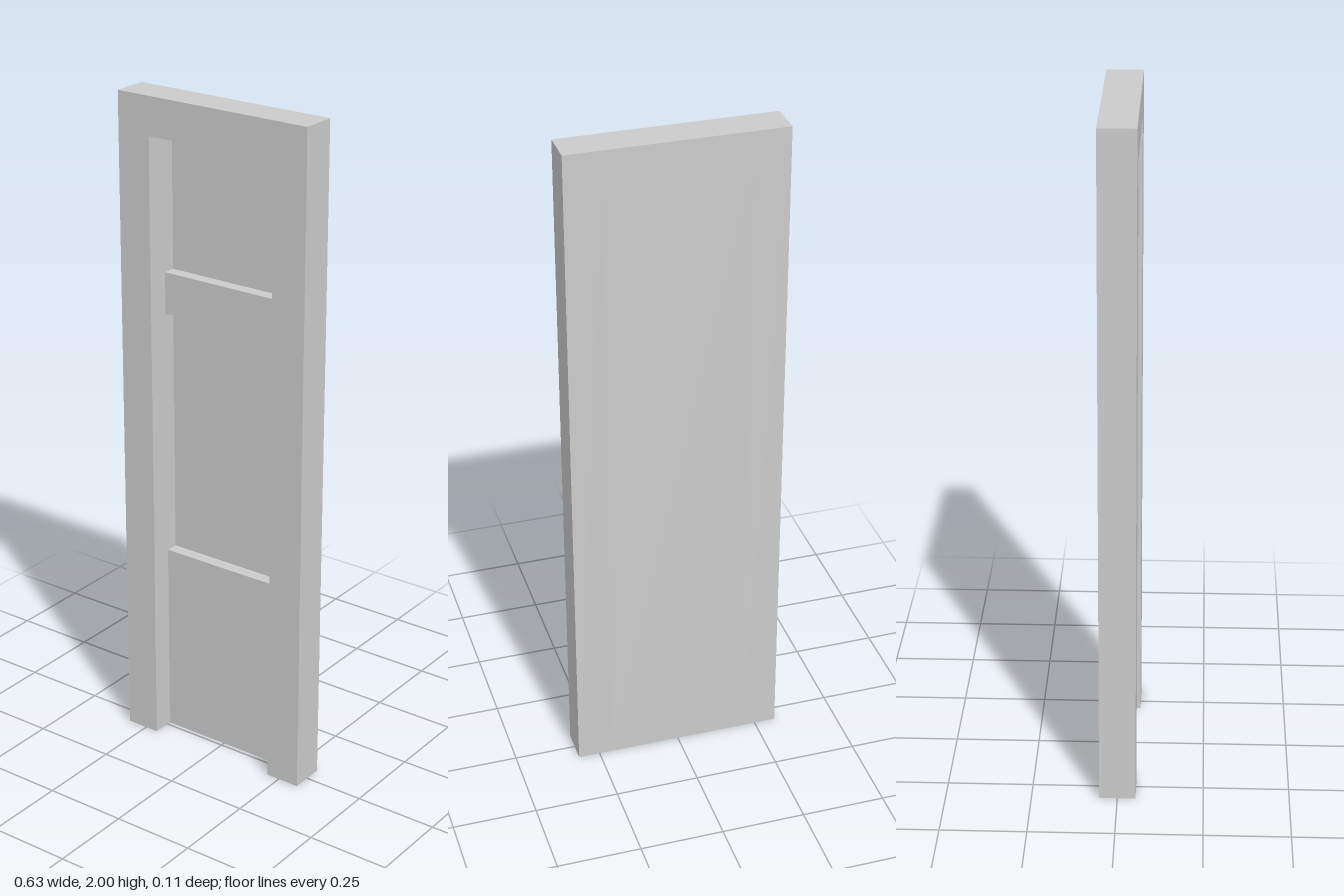
import * as THREE from 'three';

const W = 0.315, IN = 0.209, H = 2, TOP = 1.887; // half widths and heights
const FRONT = 0.053, BACK = -0.053, RAIL = -0.013, PANEL = -0.05; // depths along z

export function createModel() {
  const group = new THREE.Group();
  const material = new THREE.MeshStandardMaterial({ color: 0xcccccc, flatShading: true });

  // Surround: two posts and a head in one piece
  const outline = new THREE.Shape([
    [-W, 0], [-IN, 0], [-IN, TOP], [IN, TOP], [IN, 0], [W, 0], [W, H], [-W, H],
  ].map(([x, y]) => new THREE.Vector2(x, y)));
  const frameGeometry = new THREE.ExtrudeGeometry(outline, { depth: FRONT - BACK, bevelEnabled: false });
  frameGeometry.translate(0, 0, BACK);
  const frame = new THREE.Mesh(frameGeometry, material);
  frame.name = 'frame';
  group.add(frame);

  // Filling between the posts
  const addInfill = (name, y0, y1, z0, z1) => {
    const mesh = new THREE.Mesh(new THREE.BoxGeometry(2 * IN, y1 - y0, z1 - z0), material);
    mesh.position.set(0, (y0 + y1) / 2, (z0 + z1) / 2);
    mesh.name = name;
    group.add(mesh);
  };
  addInfill('backPanel', 0, TOP, BACK, PANEL);
  addInfill('lowerPanel', 0, 0.597, PANEL, RAIL);
  addInfill('crossRail', 1.35, 1.475, PANEL, RAIL);

  return group;
}
